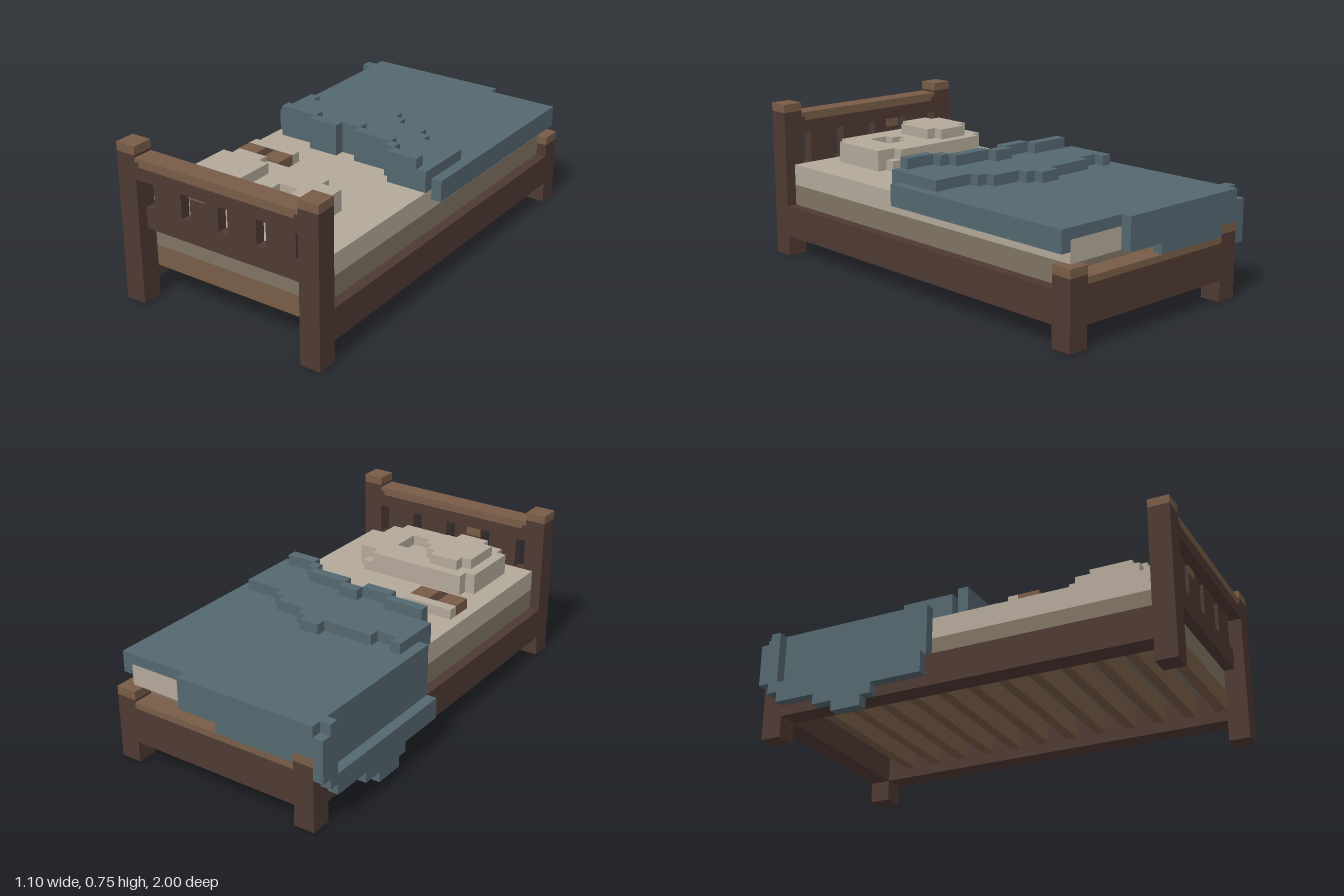
import * as THREE from 'three';

const mat = (name, color) => {
  const m = new THREE.MeshStandardMaterial({ color });
  m.name = name;
  return m;
};

export function createModel() {
  const model = new THREE.Group();
  model.name = 'bed';
  const dark = mat('dark wood', 0x4f3933);
  const brown = mat('worn wood', 0x785d47);
  const linen = mat('linen', 0xb4a99a);
  const shade = mat('mattress base', 0x7f7463);
  const blue = mat('blanket blue', 0x546770);

  // Box given by its limits on each axis
  const box = (name, m, x0, x1, y0, y1, z0, z1) => {
    const mesh = new THREE.Mesh(new THREE.BoxGeometry(x1 - x0, y1 - y0, z1 - z0), m);
    mesh.position.set((x0 + x1) / 2, (y0 + y1) / 2, (z0 + z1) / 2);
    mesh.name = name;
    model.add(mesh);
  };
  // Flat slab with an outline in x and z, and optional holes
  const slab = (name, m, pts, y0, y1, holes = []) => {
    const vec = (list) => list.map(([x, z]) => new THREE.Vector2(x, -z));
    const shape = new THREE.Shape(vec(pts));
    holes.forEach((h) => shape.holes.push(new THREE.Path(vec(h))));
    const g = new THREE.ExtrudeGeometry(shape, { depth: y1 - y0, bevelEnabled: false });
    g.rotateX(-Math.PI / 2);
    const mesh = new THREE.Mesh(g, m);
    mesh.position.y = y0;
    mesh.name = name;
    model.add(mesh);
  };
  // Stepped outline from rows of [x, z], each z held until the next x
  const steps = (rows, end) => rows.flatMap(([x, z], i) => [
    [x, z], [i + 1 < rows.length ? rows[i + 1][0] : end, z],
  ]);

  // Posts with worn caps
  for (const [x0, x1] of [[-0.5, -0.4], [0.45, 0.55]]) {
    box('headPost', dark, x0, x1, 0, 0.71, 0.9, 1);
    box('headPostCap', brown, x0, x1, 0.71, 0.75, 0.9, 1);
    box('footPost', dark, x0, x1, 0, 0.31, -1, -0.9);
    box('footPostCap', brown, x0, x1, 0.31, 0.35, -1, -0.9);
  }

  // Headboard: wide top rail, recessed panel, uprights between the slots
  box('headRail', dark, -0.4, 0.45, 0.6, 0.66, 0.9, 1);
  box('headRailWear', brown, -0.38, 0.43, 0.66, 0.68, 0.9, 1);
  box('headRailEnd', dark, -0.4, -0.38, 0.66, 0.68, 0.9, 1);
  box('headRailEnd', dark, 0.43, 0.45, 0.66, 0.68, 0.9, 1);
  box('headRailTop', brown, -0.4, 0.45, 0.68, 0.7, 0.9, 1);
  box('headPanel', dark, -0.4, 0.45, 0.35, 0.45, 0.9, 0.95);
  for (const x of [-0.35, -0.15, 0.05, 0.25]) {
    box('headUpright', dark, x, x + 0.15, 0.45, 0.6, 0.9, 0.95);
  }
  box('wornPatch', brown, -0.15, -0.07, 0.56, 0.6, 0.949, 0.951);
  box('wornPatchInside', brown, -0.15, -0.07, 0.56, 0.6, 0.899, 0.901);

  // Footboard and thick side rails
  box('footRail', dark, -0.4, 0.45, 0.1, 0.27, -1, -0.9);
  box('footRailTop', brown, -0.4, 0.45, 0.27, 0.3, -1, -0.9);
  box('sideRail', dark, -0.5, -0.4, 0.1, 0.25, -0.9, 0.9);
  box('sideRail', dark, 0.45, 0.55, 0.1, 0.25, -0.9, 0.9);

  // Upright slats under the mattress
  for (let i = 0; i < 12; i++) {
    const z = 0.9 - i * 0.15;
    box('slat', brown, -0.4, 0.45, 0.15, 0.25, z - 0.05, z);
  }

  // Mattress
  box('mattressBase', shade, -0.45, 0.5, 0.25, 0.35, -0.9, 0.9);
  box('mattressTop', linen, -0.45, 0.5, 0.35, 0.45, -0.95, 0.9);

  // Pillow: body with a dent, and a raised lump
  slab('pillow', linen, [
    [-0.3, 0.45], [0.2, 0.45], [0.2, 0.5], [0.3, 0.5], [0.3, 0.8], [0.25, 0.8],
    [0.25, 0.85], [-0.3, 0.85], [-0.3, 0.8], [-0.35, 0.8], [-0.35, 0.5], [-0.3, 0.5],
  ], 0.45, 0.55, [[
    [0.05, 0.65], [0, 0.65], [0, 0.7], [0.05, 0.7], [0.05, 0.75], [0.15, 0.75], [0.15, 0.6], [0.05, 0.6],
  ]]);
  box('pillowDentFloor', linen, 0, 0.15, 0.45, 0.5, 0.6, 0.75);
  box('pillowCorner', linen, 0.2, 0.25, 0.45, 0.5, 0.45, 0.5);
  slab('pillowLump', linen, [
    [-0.25, 0.5], [-0.1, 0.5], [-0.1, 0.55], [-0.05, 0.55], [-0.05, 0.75], [-0.1, 0.75],
    [-0.1, 0.8], [-0.25, 0.8], [-0.25, 0.75], [-0.3, 0.75], [-0.3, 0.55], [-0.25, 0.55],
  ], 0.55, 0.6);

  // Small book with a dark band and pages
  box('bookCover', brown, -0.4, -0.3, 0.45, 0.5, 0.25, 0.35);
  box('bookBand', dark, -0.3, -0.25, 0.45, 0.5, 0.25, 0.35);
  box('bookCover', brown, -0.25, -0.15, 0.45, 0.5, 0.25, 0.35);
  box('bookPages', linen, -0.4, -0.15, 0.45, 0.5, 0.2, 0.25);

  // Blanket body and overhangs
  box('blanket', blue, -0.45, 0.5, 0.45, 0.5, -0.95, -0.1);
  box('blanketRightEdge', blue, 0.5, 0.55, 0.4, 0.5, -0.95, 0.1);
  box('blanketLeftSide', blue, -0.5, -0.45, 0.25, 0.5, -0.95, -0.15);
  box('blanketBackDrape', blue, -0.5, 0.2, 0.35, 0.5, -1, -0.95);
  box('blanketBackHem', blue, -0.4, 0, 0.3, 0.35, -1, -0.95);
  box('blanketCorner', blue, -0.55, -0.5, 0.25, 0.45, -1, -0.95);
  box('blanketCornerSide', blue, -0.55, -0.5, 0.2, 0.5, -0.95, -0.9);

  // Ragged hanging edge: [front z, back z, bottom y]
  for (const [z1, z0, y] of [[-0.15, -0.4, 0.15], [-0.4, -0.45, 0.1], [-0.45, -0.6, 0.05],
    [-0.6, -0.7, 0.1], [-0.7, -0.9, 0.15]]) {
    box('blanketHem', blue, -0.55, -0.5, y, 0.25, z0, z1);
  }

  // Folded-back ridge with a raised front lip
  const back = steps([[-0.45, -0.3], [-0.4, -0.25], [-0.3, -0.3], [-0.05, -0.35], [0.05, -0.3],
    [0.1, -0.25], [0.25, -0.2], [0.3, -0.15]], 0.5);
  const lipRows = [[-0.4, 0], [-0.2, 0.05], [-0.05, 0], [0.05, 0.05], [0.25, 0.1], [0.3, 0.15]];
  const front = steps([[-0.45, -0.05], ...lipRows], 0.5);
  slab('blanketFold', blue, [...back, ...front.reverse()], 0.45, 0.55);
  const lip = steps(lipRows, 0.45);
  const lipBack = lip.map(([x, z]) => [x, z - 0.05]);
  slab('blanketLip', blue, [...lipBack, ...lip.reverse()], 0.55, 0.6);

  return model;
}
